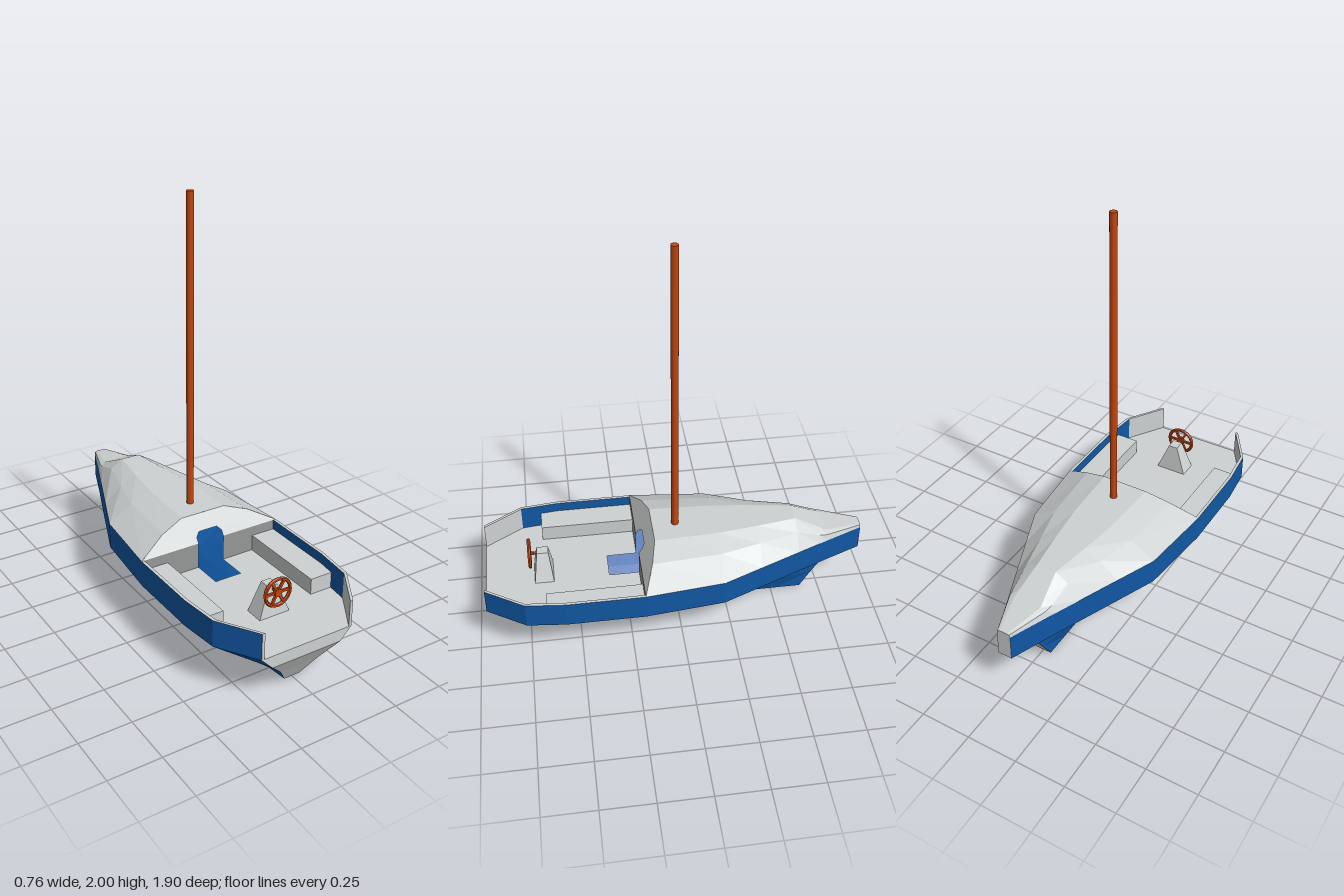
import * as THREE from 'three';

const mat = (name, color) => {
  const m = new THREE.MeshStandardMaterial({ color, side: THREE.DoubleSide, flatShading: true });
  m.name = name;
  return m;
};

export function createModel() {
  const boat = new THREE.Group();
  const blue = mat('hull blue', 0x1158a4);
  const grey = mat('deck grey', 0xcdd1d1);
  const shade = mat('bulkhead grey', 0x959797);
  const orange = mat('mast orange', 0xc0450f);

  const add = (name, geo, material, x = 0, y = 0, z = 0) => {
    const mesh = new THREE.Mesh(geo, material);
    mesh.name = name;
    mesh.position.set(x, y, z);
    boat.add(mesh);
    return mesh;
  };

  // Skin stretched over a list of cross-sections with equal point counts
  const loft = (sections) => {
    const n = sections[0].length, index = [];
    for (let i = 0; i < sections.length - 1; i++) {
      for (let j = 0; j < n - 1; j++) {
        const a = i * n + j, b = a + n;
        index.push(a, a + 1, b, b, a + 1, b + 1);
      }
    }
    const geo = new THREE.BufferGeometry();
    geo.setAttribute('position', new THREE.Float32BufferAttribute(sections.flat(2), 3));
    geo.setIndex(index);
    const flat = geo.toNonIndexed();
    flat.computeVertexNormals();
    return flat;
  };

  // Flat outline placed in space by a rule
  const plate = (pts, place) => {
    const shape = new THREE.Shape(pts.map(([x, y]) => new THREE.Vector2(x, y)));
    const geo = new THREE.ShapeGeometry(shape);
    const p = geo.attributes.position;
    for (let i = 0; i < p.count; i++) p.setXYZ(i, ...place(p.getX(i), p.getY(i)));
    geo.computeVertexNormals();
    return geo;
  };
  const mirrored = (half) => [...half, ...half.map(([x, y]) => [-x, y]).reverse()];

  // Stations along the hull: z, half width at the gunwale (stern first)
  const stations = [[0.95, 0.24], [0.76, 0.36], [0.57, 0.38], [0.19, 0.38], [-0.2, 0.34],
    [-0.4, 0.258], [-0.6, 0.176], [-0.76, 0.11], [-0.95, 0.035]];
  // Rows down the hull: height, width factor, stern z, bow z
  const rows = [[0.365, 1, 0.95, 0.95], [0.235, 1, 0.95, 0.95], [0.175, 0.71, 0.95, 0.765],
    [0.09, 0.3, 0.9, 0.71], [0, 0, 0.85, 0.655]];
  const hullPoint = ([z, w], [y, f, stern, bow], s) =>
    [s * (0.04 + (w - 0.04) * f), y, z * (z > 0 ? stern : bow) / 0.95];

  // Hull sides
  for (const s of [1, -1]) {
    add(s > 0 ? 'hullLeft' : 'hullRight',
      loft(stations.map((st) => rows.map((r) => hullPoint(st, r, s)))), blue);
  }
  // Keel strip, bow face and transom
  const across = (st, r) => [hullPoint(st, r, 1), hullPoint(st, r, -1)];
  add('keel', loft(stations.map((st) => across(st, rows[4]))), grey);
  add('bowFace', loft(rows.map((r) => across(stations[8], r))), grey);
  add('transom', loft(rows.slice(1).map((r) => across(stations[0], r))), grey);

  // Cabin roof running into the foredeck: three points per side, [x, y, z]
  const roof = [
    [[0.38, 0.365, 0.19], [0.24, 0.44, 0.141], [0.12, 0.48, 0.115]],
    [[0.34, 0.365, -0.2], [0.215, 0.44, -0.2], [0.105, 0.48, -0.2]],
    [[0.258, 0.365, -0.4], [0.165, 0.44, -0.4], [0.08, 0.48, -0.4]],
    [[0.176, 0.365, -0.6], [0.115, 0.44, -0.6], [0.05, 0.48, -0.6]],
    [[0.127, 0.365, -0.72], [0.105, 0.4, -0.72], [0.065, 0.422, -0.72]],
    [[0.11, 0.365, -0.76], [0.098, 0.393, -0.76], [0.07, 0.403, -0.76]],
    [[0.035, 0.365, -0.95], [0.031, 0.378, -0.95], [0.02, 0.38, -0.95]],
  ];
  const roofSections = roof.map((h) => [...h, ...h.map(([x, y, z]) => [-x, y, z]).reverse()]);
  add('cabinRoof', loft(roofSections), grey);
  const nose = roof[6];
  add('bowCap', loft(nose.map(([x, y, z]) => [[x, y, z], [-x, y, z]])), grey);

  // Sloping cabin back and bulkhead, both cut by the doorway
  add('cabinBack', plate(mirrored([[0.05, 0.41], [0.07, 0.39], [0.07, 0.365], [0.38, 0.365],
    [0.24, 0.44], [0.12, 0.48]]), (x, y) => [x, y, 0.19 - (y - 0.365) * 0.652]), grey);
  for (const s of [1, -1]) {
    add('bulkhead', new THREE.PlaneGeometry(0.31, 0.13), shade, s * 0.225, 0.3, 0.19);
  }

  // Cockpit floor with the companionway opening
  add('cockpitFloor', plate(mirrored([[0.07, 0.34], [0.07, 0.19], [0.38, 0.19], [0.38, 0.57],
    [0.36, 0.76], [0.24, 0.95]]), (x, z) => [x, 0.235, z]), grey);

  // Cockpit walls, gunwale rims and benches
  const t = 0.015;
  const aft = stations.slice(0, 4);
  for (const s of [1, -1]) {
    const inner = (list) => loft(list.map(([z, w]) => [[s * (w - t), 0.365, z], [s * (w - t), 0.235, z]]));
    add('innerWall', inner(aft.slice(1)), blue);
    add('sternInnerWall', inner(aft.slice(0, 2)), grey);
    add('gunwale', loft(aft.map(([z, w]) => [[s * w, 0.365, z], [s * (w - t), 0.365, z]])), grey);
    add('wallEnd', new THREE.PlaneGeometry(t, 0.13), grey, s * (0.24 - t / 2), 0.3, 0.95);
    add('bench', new THREE.BoxGeometry(0.125, 0.08, 0.47), grey, s * 0.3025, 0.275, 0.425);
  }

  // Tapered steering pedestal
  const pedestal = new THREE.BoxGeometry(0.16, 0.145, 0.095);
  const p = pedestal.attributes.position;
  for (let i = 0; i < p.count; i++) {
    if (p.getY(i) > 0) p.setXYZ(i, p.getX(i) * 0.3, p.getY(i), p.getZ(i) * 0.6);
  }
  pedestal.computeVertexNormals();
  add('pedestal', pedestal, grey, 0, 0.3075, 0.663);

  // Steering wheel: rim, hub and six spokes
  const wheel = new THREE.Group();
  wheel.name = 'steeringWheel';
  wheel.position.set(0, 0.365, 0.727);
  const part = (name, geo) => {
    const m = new THREE.Mesh(geo, orange);
    m.name = name;
    wheel.add(m);
    return m;
  };
  part('wheelRim', new THREE.TorusGeometry(0.067, 0.009, 6, 20));
  part('wheelHub', new THREE.CylinderGeometry(0.02, 0.02, 0.018, 12).rotateX(Math.PI / 2));
  part('wheelShaft', new THREE.CylinderGeometry(0.008, 0.008, 0.05, 8).rotateX(Math.PI / 2)).position.z = -0.025;
  for (let i = 0; i < 6; i++) {
    part('wheelSpoke', new THREE.BoxGeometry(0.012, 0.06, 0.01).translate(0, 0.035, 0))
      .rotation.z = (i * Math.PI) / 3 + Math.PI / 6;
  }
  boat.add(wheel);

  // Mast
  add('mast', new THREE.CylinderGeometry(0.018, 0.018, 1.53, 16), orange, 0, 1.235, 0);
  return boat;
}
